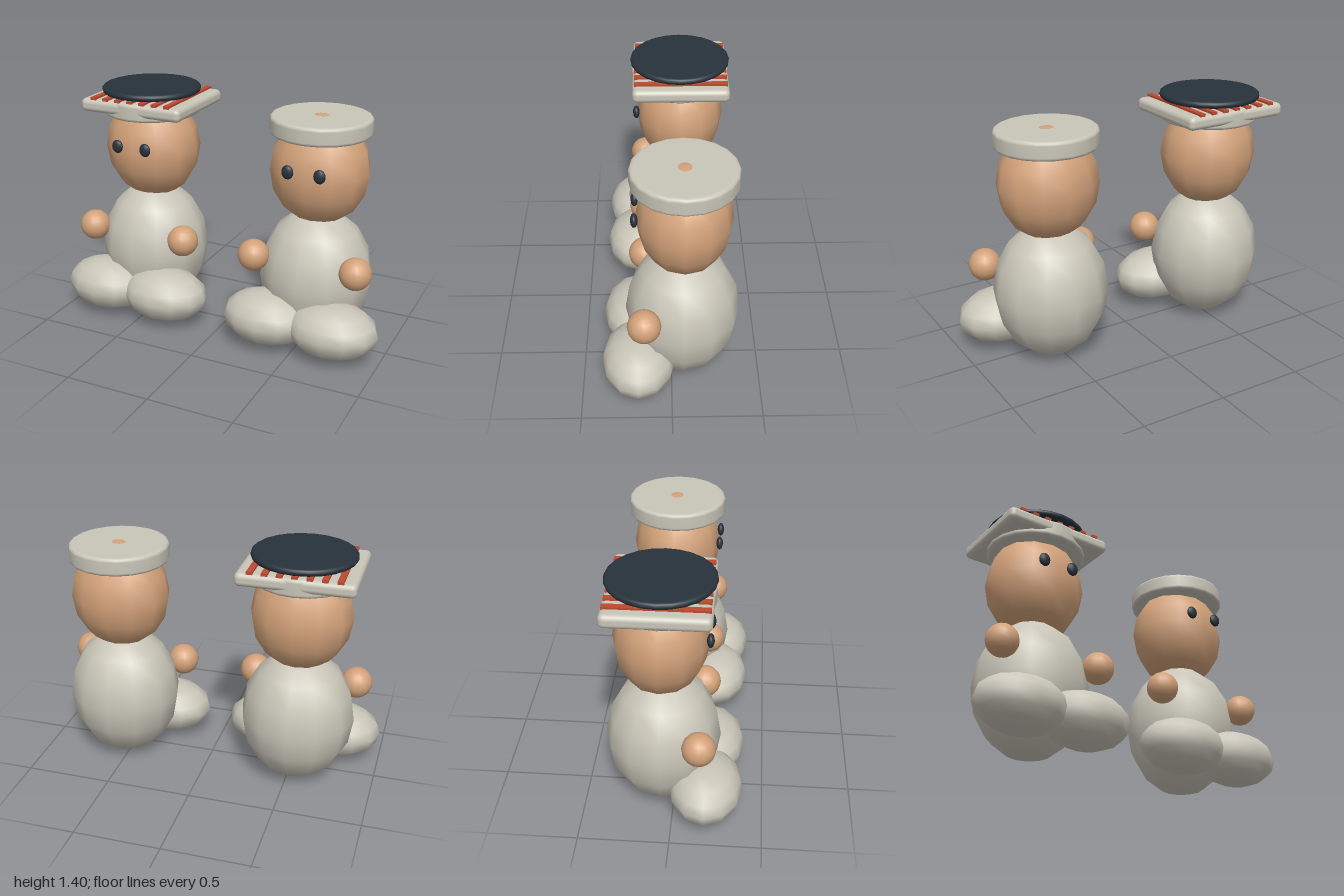
import * as THREE from 'three';
import { RoundedBoxGeometry } from 'three/addons/geometries/RoundedBoxGeometry.js';

function material(name, color) {
  const m = new THREE.MeshStandardMaterial({ color });
  m.name = name;
  return m;
}

export function createModel() {
  const stone = material('warm grey', 0xc9c5b8);
  const skin = material('tan skin', 0xd3a27a);
  const dark = material('dark slate', 0x28323c);
  const red = material('brick red', 0xbd4a30);

  function add(parent, name, geometry, mat, x, y, z) {
    const mesh = new THREE.Mesh(geometry, mat);
    mesh.name = name;
    mesh.position.set(x, y, z);
    parent.add(mesh);
    return mesh;
  }

  function ellipsoid(rx, ry, rz, w = 12, h = 8) {
    return new THREE.SphereGeometry(1, w, h).scale(rx, ry, rz);
  }

  // Flat disc with rounded rims, centred on its own height
  function roundedDisc(radius, height, bevel, sides) {
    const points = [new THREE.Vector2(0, -height / 2), new THREE.Vector2(radius - bevel - 0.004, -height / 2)];
    for (const side of [-1, 1]) {
      for (let i = 0; i <= 4; i++) {
        const a = (side < 0 ? i - 4 : i) * Math.PI / 8;
        points.push(new THREE.Vector2(
          radius - bevel + bevel * Math.cos(a),
          side * (height / 2 - bevel) + bevel * Math.sin(a)
        ));
      }
    }
    points.push(new THREE.Vector2(radius - bevel - 0.004, height / 2), new THREE.Vector2(0, height / 2));
    return new THREE.LatheGeometry(points, sides);
  }

  const body = ellipsoid(0.33, 0.4, 0.32);
  const head = ellipsoid(0.29, 0.32, 0.26);
  const foot = ellipsoid(0.27, 0.157, 0.205);
  const hand = ellipsoid(0.092, 0.092, 0.092, 16, 12);
  const eye = ellipsoid(0.035, 0.04, 0.02, 12, 8);
  const hatBand = roundedDisc(0.287, 0.104, 0.02, 20);

  // Seated figure with a round flat hat
  function figure(name, x) {
    const g = new THREE.Group();
    g.name = name;
    g.position.x = x;
    add(g, 'body', body, stone, 0, 0.405, -0.065);
    add(g, 'head', head, skin, 0, 1.04, -0.07);
    add(g, 'hatBand', hatBand, stone, 0, 1.299, -0.068);
    for (const [side, s] of [['left', 1], ['right', -1]]) {
      add(g, side + 'Foot', foot, stone, s * 0.195, 0.19, 0.183);
      add(g, side + 'Hand', hand, skin, s * 0.305, 0.54, 0.148);
      add(g, side + 'Eye', eye, dark, s * 0.092, 1.085, 0.193);
    }
    return g;
  }

  const model = new THREE.Group();
  model.name = 'seatedPair';
  model.add(figure('leftFigure', 0.535));

  // Second figure wears a square board, red slats and a dark disc
  const topped = figure('rightFigure', -0.535);
  model.add(topped);
  add(topped, 'hatBoard', new RoundedBoxGeometry(0.65, 0.078, 0.56, 4, 0.03), stone, 0, 1.313, -0.07);
  const slat = new THREE.BoxGeometry(0.034, 0.016, 0.54);
  for (let i = -3; i <= 3; i++) add(topped, 'hatSlat', slat, red, i * 0.08, 1.356, -0.07);
  add(topped, 'hatDisc', roundedDisc(0.292, 0.038, 0.018, 24), dark, 0, 1.391, -0.068);

  return model;
}
